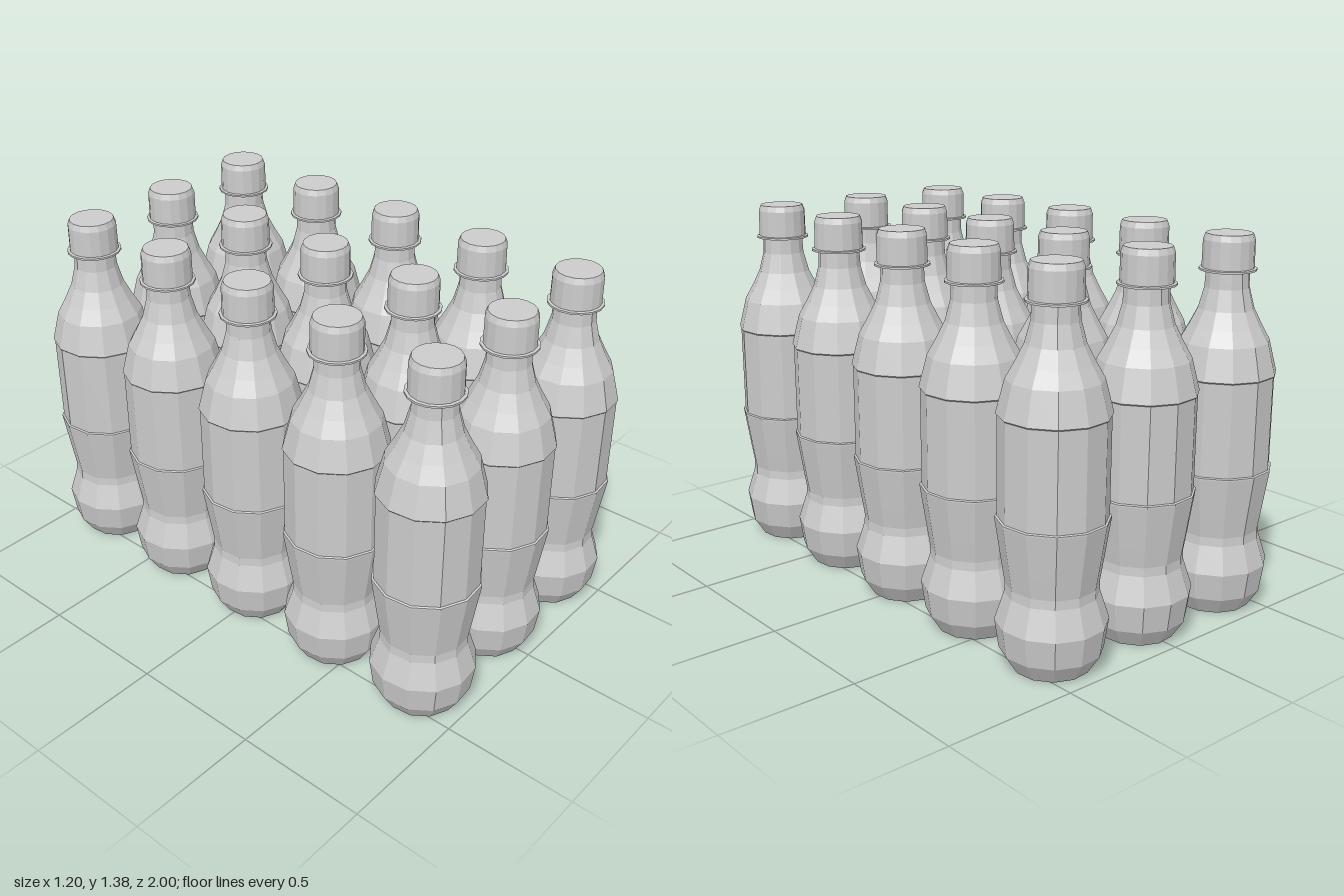
import * as THREE from 'three';

// Low-poly lathe from [radius, height] pairs, listed bottom to top
function turned(profile, sides, start) {
  const points = profile.map(([r, y]) => new THREE.Vector2(r, y));
  return new THREE.LatheGeometry(points, sides, start);
}

export function createModel() {
  const group = new THREE.Group();
  group.name = 'bottleArray';
  const material = new THREE.MeshStandardMaterial({ color: 0xcccccc, flatShading: true });
  const start = THREE.MathUtils.degToRad(21);

  // Contoured body: base, waist, raised label edges, shoulder, neck
  const bodyGeometry = turned([
    [0, 0], [0.136, 0], [0.178, 0.066], [0.193, 0.168],
    [0.16, 0.268], [0.158, 0.3], [0.169, 0.37], [0.193, 0.528], [0.193, 0.534], [0.186, 0.537],
    [0.186, 0.88], [0.191, 0.885],
    [0.161, 1.0], [0.13, 1.055], [0.1, 1.115], [0.08, 1.19], [0.077, 1.255],
  ], 12, start);

  // Screw cap with a thin collar ring and a bevelled top
  const capGeometry = turned([
    [0, 1.25], [0.102, 1.25], [0.102, 1.257], [0.092, 1.259],
    [0.091, 1.358], [0.083, 1.38], [0, 1.38],
  ], 16, start);

  // Three columns by five rows
  for (let row = -2; row <= 2; row++) {
    for (let column = -1; column <= 1; column++) {
      const bottle = new THREE.Group();
      bottle.name = 'bottle';
      const body = new THREE.Mesh(bodyGeometry, material);
      body.name = 'body';
      const cap = new THREE.Mesh(capGeometry, material);
      cap.name = 'cap';
      bottle.add(body, cap);
      bottle.position.set(column * 0.409, 0, row * 0.4045);
      group.add(bottle);
    }
  }
  return group;
}
